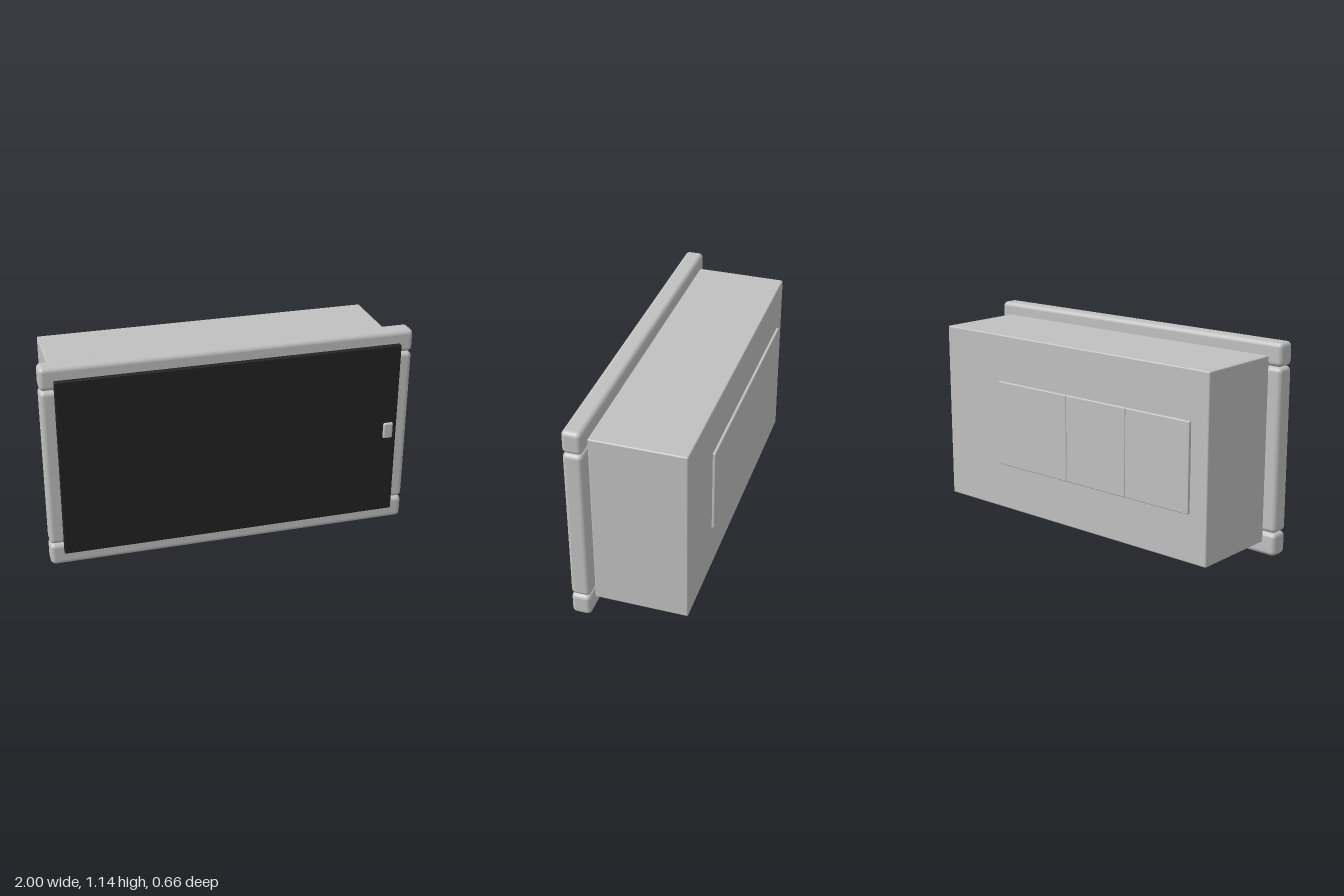
import * as THREE from 'three';
import { RoundedBoxGeometry } from 'three/addons/geometries/RoundedBoxGeometry.js';

export function createModel() {
  const group = new THREE.Group();
  group.name = 'wallCabinet';
  const lightGrey = new THREE.MeshStandardMaterial({ color: 0xc0c0c0 });
  lightGrey.name = 'light grey';
  const black = new THREE.MeshStandardMaterial({ color: 0x222222 });
  black.name = 'black';

  // Rounded block given by its min and max on each axis
  function block(name, material, [x0, x1], [y0, y1], [z0, z1], radius) {
    const geometry = new RoundedBoxGeometry(x1 - x0, y1 - y0, z1 - z0, 4, radius);
    const mesh = new THREE.Mesh(geometry, material);
    mesh.name = name;
    mesh.position.set((x0 + x1) / 2, (y0 + y1) / 2, (z0 + z1) / 2);
    group.add(mesh);
  }

  // Housing behind the frame
  block('housing', lightGrey, [-0.928, 0.928], [0.074, 1.074], [-0.313, 0.191], 0.008);

  // Frame: full-width rails with posts between them
  const frameZ = [0.192, 0.297];
  block('bottomRail', lightGrey, [-1, 1], [0, 0.126], frameZ, 0.026);
  block('topRail', lightGrey, [-1, 1], [1.018, 1.144], frameZ, 0.026);
  block('leftPost', lightGrey, [0.874, 1], [0.128, 1.016], frameZ, 0.026);
  block('rightPost', lightGrey, [-1, -0.874], [0.128, 1.016], frameZ, 0.026);

  // Door and its small handle
  block('door', black, [-0.928, 0.928], [0.074, 1.074], [0.288, 0.318], 0.008);
  block('handle', lightGrey, [0.85, 0.905], [0.528, 0.62], [0.306, 0.33], 0.01);

  // Row of cover plates on the back
  const edges = [-0.822, -0.411, 0, 0.511];
  for (let i = 0; i < 3; i++) {
    block('backPlate' + (i + 1), lightGrey, [edges[i], edges[i + 1]], [0.334, 0.814], [-0.328, -0.302], 0.006);
  }
  return group;
}
